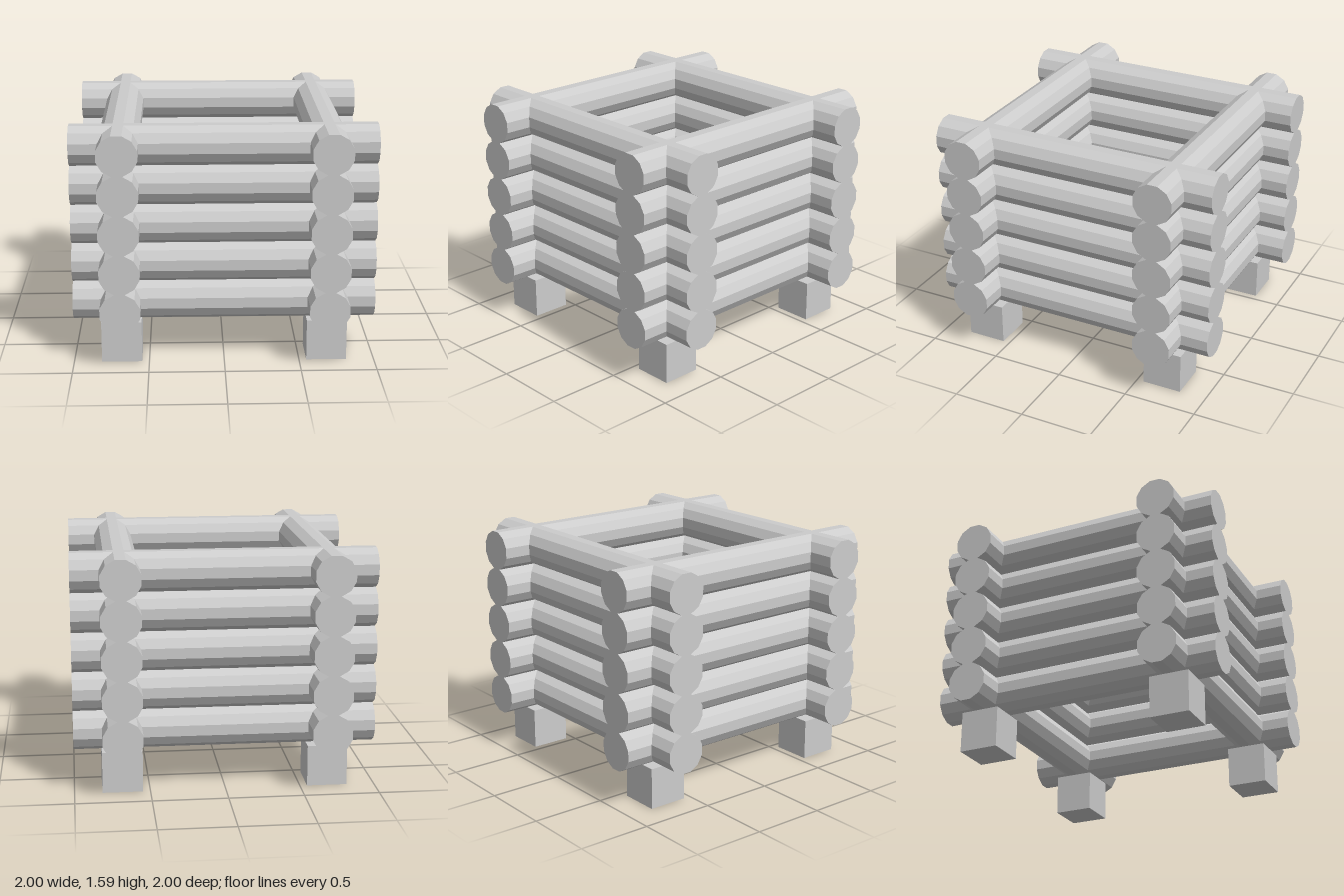
import * as THREE from 'three';

export function createModel() {
  const model = new THREE.Group();
  const grey = new THREE.MeshStandardMaterial({ color: 0xcccccc, flatShading: true });
  grey.name = 'plain grey';

  const tiers = 5, footHeight = 0.277, pitch = 0.2626, wall = 0.682;
  // Twelve-sided log with flats on top, bottom and sides
  const radius = pitch / 2 / Math.cos(Math.PI / 12);
  const logX = new THREE.CylinderGeometry(radius, radius, 2, 12, 1, false, Math.PI / 12);
  logX.rotateZ(Math.PI / 2);
  const logZ = logX.clone().rotateY(-Math.PI / 2);
  const foot = new THREE.BoxGeometry(0.267, footHeight, 0.267);

  const add = (name, geometry, x, y, z) => {
    const mesh = new THREE.Mesh(geometry, grey);
    mesh.name = name;
    mesh.position.set(x, y, z);
    model.add(mesh);
  };

  // Stacked walls crossing at the corners
  for (let i = 0; i < tiers; i++) {
    const y = footHeight + pitch * (i + 0.5);
    add('frontLog', logX, 0, y, wall);
    add('backLog', logX, 0, y, -wall);
    add('leftLog', logZ, wall, y, 0);
    add('rightLog', logZ, -wall, y, 0);
  }

  // Square feet under each corner
  for (const x of [-wall, wall])
    for (const z of [-wall, wall]) add('cornerFoot', foot, x, footHeight / 2, z);

  return model;
}
